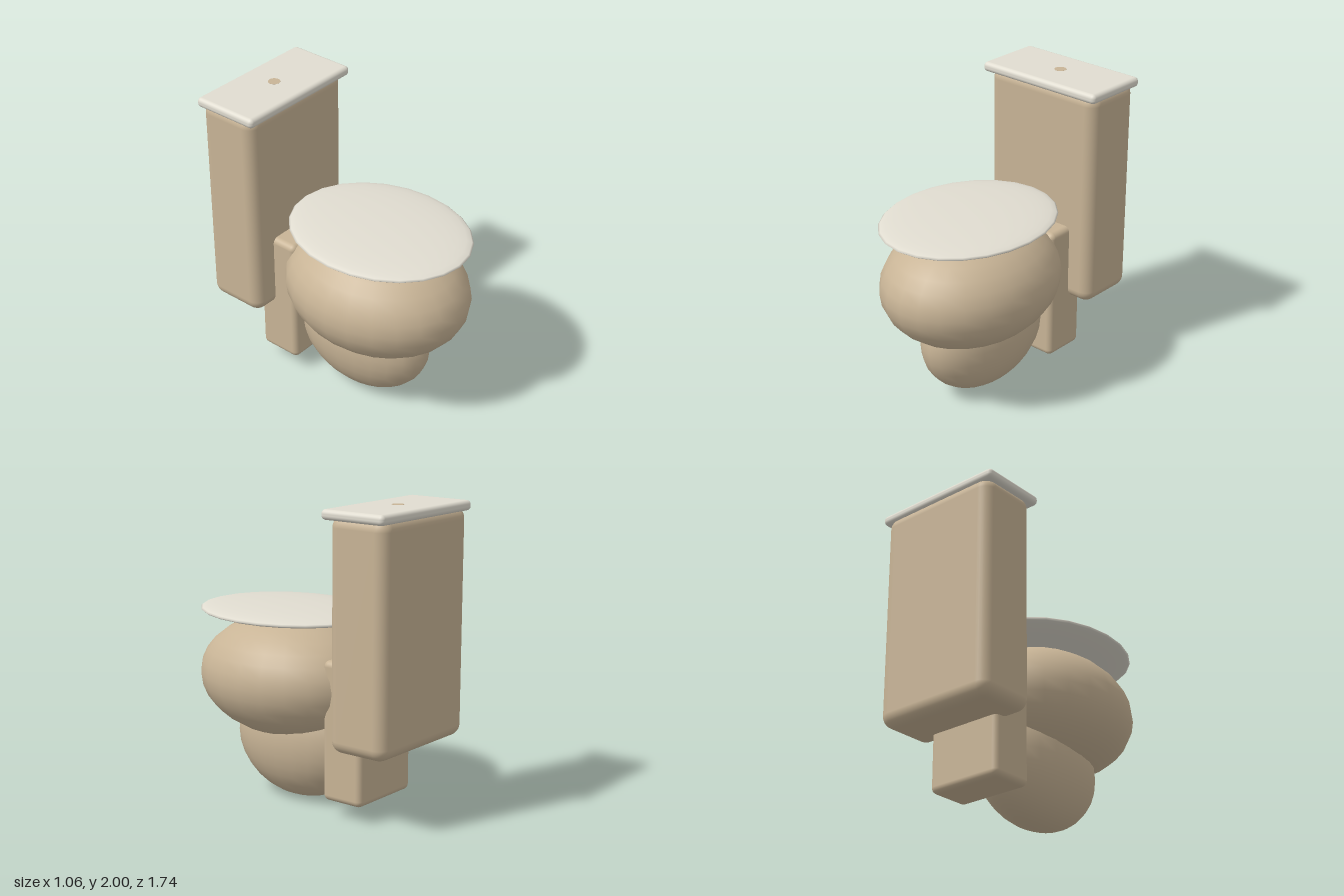
import * as THREE from 'three';
import { RoundedBoxGeometry } from 'three/addons/geometries/RoundedBoxGeometry.js';

export function createModel() {
  const group = new THREE.Group();
  const ceramic = new THREE.MeshStandardMaterial({ color: 0xc8b496 });
  ceramic.name = 'tan ceramic';
  const cover = new THREE.MeshStandardMaterial({ color: 0xe0dcd0 });
  cover.name = 'off white cover';

  const add = (name, geometry, material, x, y, z) => {
    const mesh = new THREE.Mesh(geometry, material);
    mesh.name = name;
    mesh.position.set(x, y, z);
    group.add(mesh);
    return mesh;
  };
  // Ellipsoid from its centre and radii
  const ellipsoid = (name, material, y, z, rx, ry, rz) =>
    add(name, new THREE.SphereGeometry(1, 24, 16).scale(rx, ry, rz), material, 0, y, z);
  // Rounded block from its width and its y and z limits
  const block = (name, material, width, y0, y1, z0, z1, radius) =>
    add(name, new RoundedBoxGeometry(width, y1 - y0, z1 - z0, 4, radius), material,
      0, (y0 + y1) / 2, (z0 + z1) / 2);

  // Bowl, foot and flat seat cover
  ellipsoid('foot', ceramic, 0.405, 0.12, 0.29, 0.405, 0.5);
  ellipsoid('bowl', ceramic, 0.81, 0.22, 0.53, 0.405, 0.65);
  ellipsoid('seatCover', cover, 1.24, 0.238, 0.515, 0.048, 0.626);

  // Rear support, water tank and its lid
  block('rearSupport', ceramic, 0.54, 0.105, 1.02, -0.565, -0.26, 0.04);
  block('tank', ceramic, 0.88, 0.49, 1.97, -0.862, -0.435, 0.08);
  block('tankLid', cover, 0.935, 1.935, 2, -0.866, -0.4, 0.028);

  // Flush button, level with the lid
  add('flushButton', new THREE.CylinderGeometry(0.04, 0.04, 0.008, 20), ceramic, 0, 1.997, -0.635);

  return group;
}
